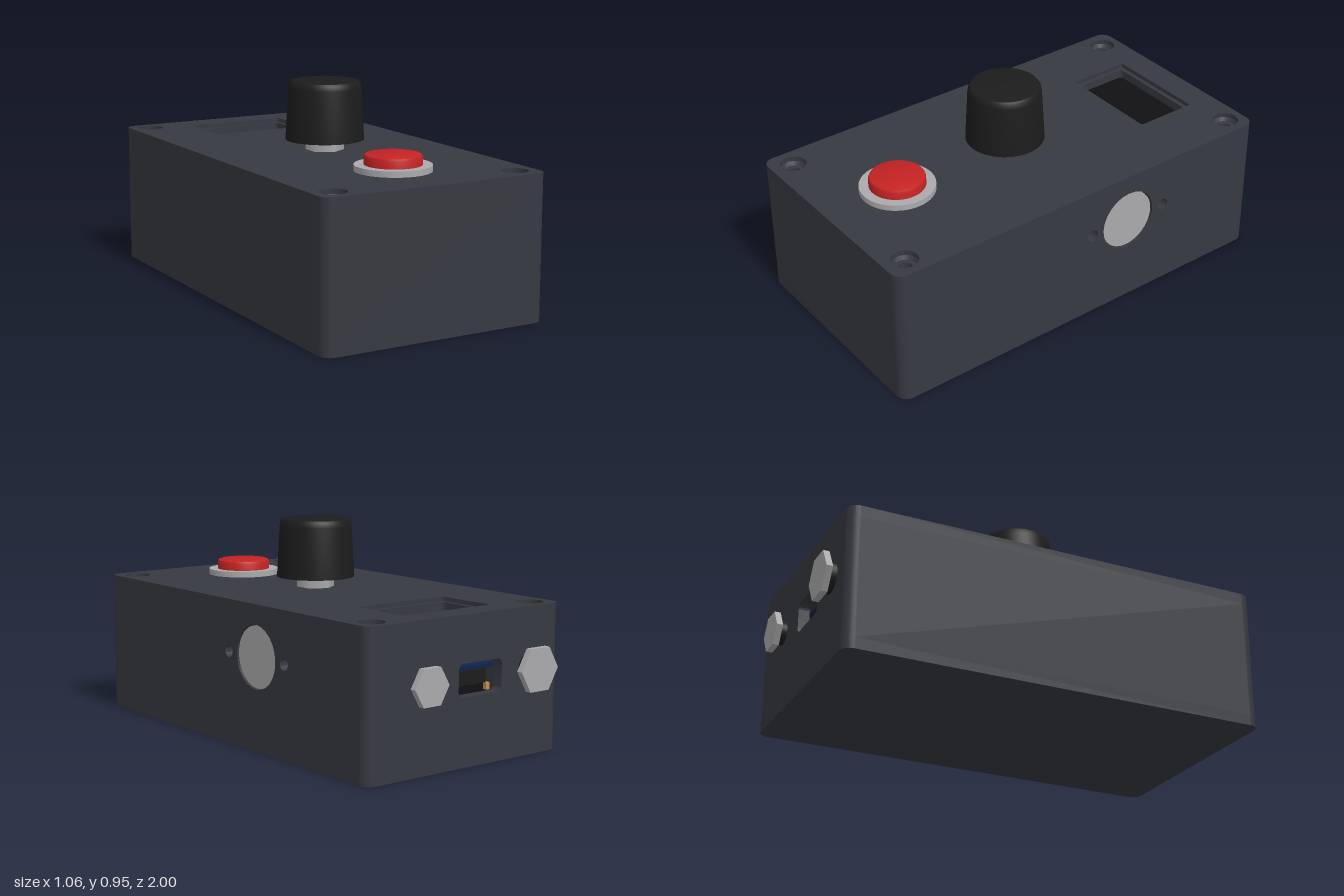
import * as THREE from 'three';
import { toCreasedNormals } from 'three/addons/utils/BufferGeometryUtils.js';

const mat = (color, side = THREE.FrontSide) => new THREE.MeshStandardMaterial({ color, side });
const CASE = mat(0x363940), BLACK = mat(0x1c1c1c), GLASS = mat(0x111114), METAL = mat(0xaaaaac);
const RED = mat(0xc42222), BLUE = mat(0x10224f), BRASS = mat(0xc09050);
const CASE2 = mat(0x363940, THREE.DoubleSide);

// enclosure: half width, front and back z, height, wall thickness (= corner radius)
const W = 0.53, ZF = 1.0, ZB = -0.94, H = 0.637, T = 0.05;

export function createModel() {
  const model = new THREE.Group();

  const add = (name, geo, material, x = 0, y = 0, z = 0) => {
    const m = new THREE.Mesh(geo, material);
    m.name = name;
    m.position.set(x, y, z);
    model.add(m);
    return m;
  };
  const circle = (u, v, r) => new THREE.Path().absarc(u, v, r, 0, Math.PI * 2, false);
  const roundRect = (x0, y0, x1, y1, r) => {
    const s = new THREE.Shape();
    s.absarc(x1 - r, y1 - r, r, 0, Math.PI / 2, false);
    s.absarc(x0 + r, y1 - r, r, Math.PI / 2, Math.PI, false);
    s.absarc(x0 + r, y0 + r, r, Math.PI, Math.PI * 1.5, false);
    s.absarc(x1 - r, y0 + r, r, Math.PI * 1.5, Math.PI * 2, false);
    s.closePath();
    return s;
  };
  const extrude = (shape, depth, holes = []) => {
    shape.holes.push(...holes);
    const g = new THREE.ExtrudeGeometry(shape, { depth, bevelEnabled: false, curveSegments: 12 });
    return toCreasedNormals(g, 0.6);
  };
  // horizontal plate; shape coordinates are (x, -z)
  const plate = (shape, depth, holes) => extrude(shape, depth, holes).rotateX(-Math.PI / 2);
  const lathe = (pts, seg = 48) => toCreasedNormals(
    new THREE.LatheGeometry(pts.map(p => new THREE.Vector2(...p)), seg), 0.6);

  // lid with screw holes and display window
  const screws = [[-0.435, -0.85], [0.435, -0.85], [-0.435, 0.9], [0.435, 0.9]];
  const outline = () => roundRect(-W, -ZF, W, -ZB, T);
  add('lid', plate(outline(), T, [
    ...screws.map(([x, z]) => circle(x, -z, 0.058)),
    roundRect(-0.24, 0.52, 0.24, 0.81, 0.004),
  ]), CASE, 0, H - T, 0);
  add('floor', plate(outline(), T), CASE);

  // walls between the rounded corner posts
  const wall = (name, u0, u1, angle, x, z, holes = []) => {
    const s = new THREE.Shape([[u0, T], [u1, T], [u1, H - T], [u0, H - T]]
      .map(p => new THREE.Vector2(...p)));
    add(name, extrude(s, T, holes), CASE, x, 0, z).rotation.y = angle;
  };
  wall('frontWall', -W + T, W - T, 0, 0, ZF - T);
  wall('backWall', -W + T, W - T, Math.PI, 0, ZB + T, [roundRect(-0.05, 0.295, 0.19, 0.435, 0.025)]);
  wall('rightWall', -ZF + T, -ZB - T, Math.PI / 2, W - T, 0,
    [circle(0.2, 0.41, 0.14), circle(0, 0.41, 0.028), circle(0.4, 0.41, 0.028)]);
  wall('leftWall', ZB + T, ZF - T, -Math.PI / 2, -W + T, 0);
  for (const x of [-W + T, W - T]) for (const z of [ZB + T, ZF - T])
    add('cornerPost', new THREE.CylinderGeometry(T, T, H - 2 * T, 48, 1, true), CASE, x, H / 2, z);

  // countersunk screw seats
  screws.forEach(([x, z]) => add('screwSeat', lathe(
    [[0, 0.54], [0.03, 0.54], [0.03, 0.598], [0.048, 0.598], [0.058, 0.615]], 32), CASE2, x, 0, z));
  add('screwInsert', new THREE.CylinderGeometry(0.018, 0.018, 0.01, 16), BRASS, 0.435, 0.547, -0.85);

  // recessed display
  add('displayBezel', plate(roundRect(-0.24, 0.52, 0.24, 0.81, 0.004), 0.04,
    [roundRect(-0.22, 0.54, 0.22, 0.79, 0.02)]), CASE, 0, 0.578, 0);
  add('displayGlass', new THREE.BoxGeometry(0.46, 0.015, 0.27), GLASS, 0, 0.572, -0.665);

  // rotary knob on its nut and shaft
  add('knobNut', new THREE.CylinderGeometry(0.085, 0.085, 0.035, 6), METAL, 0, H + 0.0175, 0.075);
  add('knobShaft', new THREE.CylinderGeometry(0.05, 0.05, 0.07, 24), METAL, 0, H + 0.035, 0.075);
  add('knob', lathe([[0, 0.685], [0.175, 0.685], [0.162, 0.915], [0.158, 0.935], [0.15, 0.945],
    [0.138, 0.948], [0, 0.948]]), BLACK, 0, 0, 0.075);

  // push button
  add('buttonRing', lathe([[0.165, H], [0.165, 0.663], [0.12, 0.663]]), METAL, 0, 0, 0.645);
  add('buttonCap', lathe([[0.123, H], [0.123, 0.695], [0.119, 0.704], [0.11, 0.708], [0, 0.708]]),
    RED, 0, 0, 0.645);

  // round side connector, with a flange behind the wall
  add('sideConnector', new THREE.CylinderGeometry(0.135, 0.135, 0.06, 48).rotateZ(Math.PI / 2),
    METAL, W - 0.038, 0.41, -0.2);
  add('connectorFlange', new THREE.BoxGeometry(0.02, 0.3, 0.5), METAL, W - T - 0.012, 0.41, -0.2);

  // back jacks: bushing and hex nut
  for (const [x, rShaft, rNut] of [[-0.353, 0.068, 0.106], [0.245, 0.052, 0.09]]) {
    add('jackBushing', new THREE.CylinderGeometry(rShaft, rShaft, 0.05, 32).rotateX(Math.PI / 2),
      BLACK, x, 0.375, -0.955);
    add('jackNut', toCreasedNormals(new THREE.CylinderGeometry(rNut, rNut, 0.028, 6), 0.3)
      .rotateX(Math.PI / 2).rotateZ(Math.PI / 2), METAL, x, 0.375, -0.986);
  }

  // port and circuit board behind the back cutout
  add('portBacking', new THREE.BoxGeometry(0.34, 0.24, 0.02), GLASS, -0.07, 0.365, -0.78);
  add('portBody', new THREE.BoxGeometry(0.15, 0.06, 0.1), BLACK, -0.07, 0.36, -0.84);
  add('circuitBoard', new THREE.BoxGeometry(0.28, 0.015, 0.1), BLUE, -0.07, 0.4, -0.835);
  for (const x of [-0.17, 0.03])
    add('boardPin', new THREE.BoxGeometry(0.02, 0.03, 0.02), BRASS, x, 0.31, -0.87);

  return model;
}
